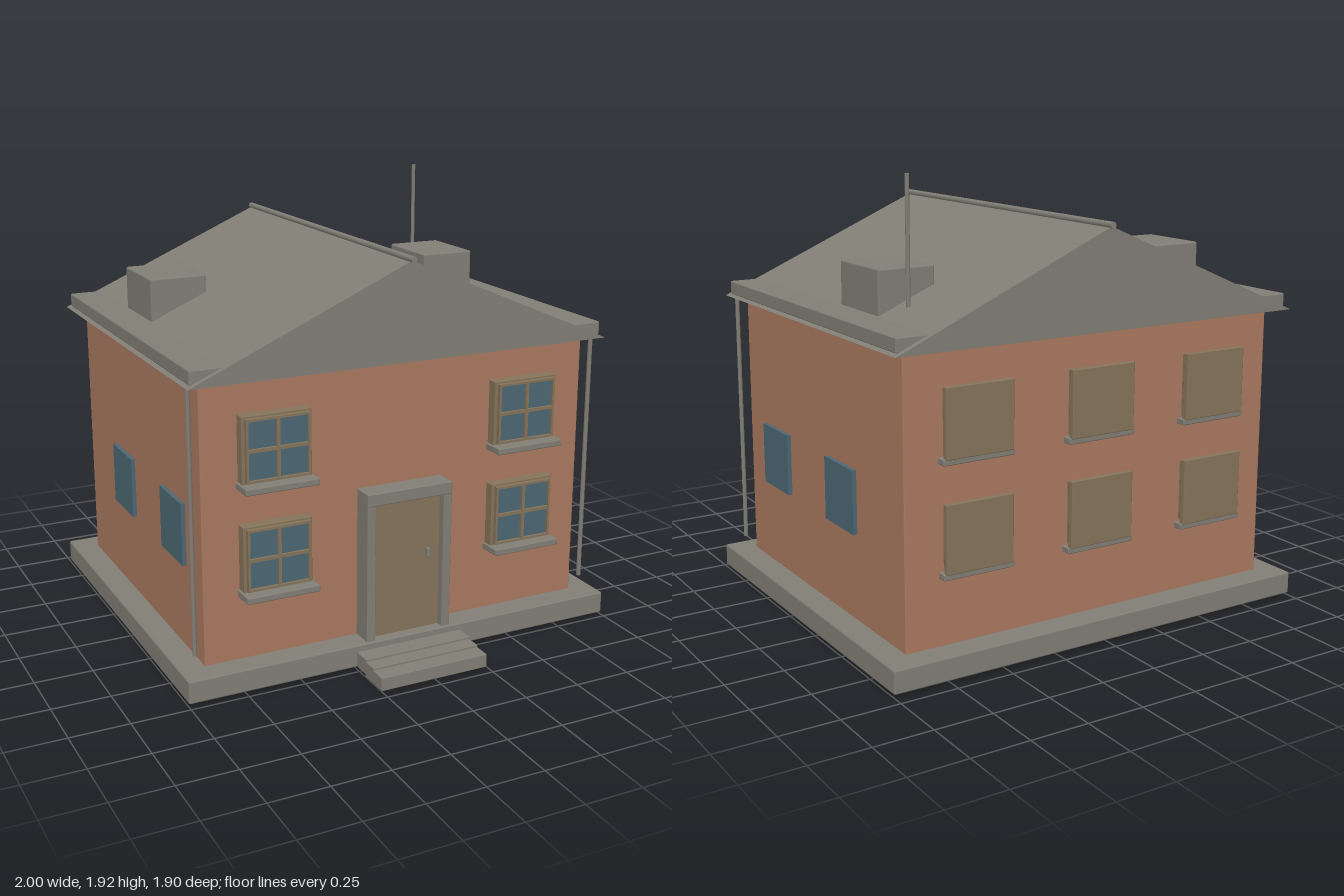
import * as THREE from 'three';
import { RoundedBoxGeometry } from 'three/addons/geometries/RoundedBoxGeometry.js';

export function createModel() {
  const house = new THREE.Group();
  house.name = 'house';

  const mat = (name, color) => {
    const m = new THREE.MeshStandardMaterial({ color });
    m.name = name;
    return m;
  };
  const brick = mat('brick', 0xab7a60);
  const stone = mat('stone', 0x827f76);
  const wood = mat('wood', 0x86755b);
  const glass = mat('glass', 0x4d6874);

  const add = (name, geometry, material, parent = house) => {
    const mesh = new THREE.Mesh(geometry, material);
    mesh.name = name;
    parent.add(mesh);
    return mesh;
  };
  // Box given by its limits on each axis, with an optional small bevel
  const box = (name, material, [x0, x1], [y0, y1], [z0, z1], bevel = 0, parent = house) => {
    const size = [x1 - x0, y1 - y0, z1 - z0];
    const g = bevel ? new RoundedBoxGeometry(...size, 1, bevel) : new THREE.BoxGeometry(...size);
    g.translate((x0 + x1) / 2, (y0 + y1) / 2, (z0 + z1) / 2);
    return add(name, g, material, parent);
  };
  const pole = (name, r, x, z, y0, y1) => {
    const g = new THREE.CylinderGeometry(r, r, y1 - y0, 8);
    add(name, g, stone).position.set(x, (y0 + y1) / 2, z);
  };

  // Base and walls
  box('plinth', stone, [-1, 1], [0.01, 0.11], [-0.95, 0.73], 0.008);
  box('walls', brick, [-0.89, 0.89], [0.1, 1.3], [-0.84, 0.625], 0.006);

  // Entrance steps
  [[0, 0.06, 0.8, 0.95], [0.01, 0.07, 0.73, 0.875], [0.02, 0.08, 0.72, 0.81]].forEach(([y0, y1, z0, z1]) =>
    box('step', stone, [-0.25, 0.25], [y0, y1], [z0, z1], 0.004));

  // Roof prism with gable ends
  const gable = new THREE.Shape([
    new THREE.Vector2(-0.96, 1.3), new THREE.Vector2(0.96, 1.3), new THREE.Vector2(0, 1.715),
  ]);
  const roof = new THREE.ExtrudeGeometry(gable, { depth: 1.625, bevelEnabled: false });
  roof.translate(0, 0, -0.92);
  add('roof', roof, stone);
  const ridge = new THREE.CylinderGeometry(0.014, 0.014, 1.65, 8);
  ridge.rotateX(Math.PI / 2).translate(0, 1.72, -0.105);
  add('ridgeCap', ridge, stone);

  // Parts mirrored on both sides
  for (const s of [-1, 1]) {
    const span = (a, b) => (s > 0 ? [a, b] : [-b, -a]);
    box('gutter', stone, span(0.8, 0.945), [1.308, 1.368], [-0.895, 0.68], 0.006);
    box('chimney', stone, span(0.545, 0.8), [1.32, 1.555], [-0.485, -0.155], 0.008);
    pole('drainpipe', 0.01, s * 0.935, 0.632, 0.17, 1.31);
    for (const z of [0.315, -0.315])
      box('sideWindow', glass, span(0.885, 0.908), [0.48, 0.75], [z - 0.128, z + 0.128]);
  }
  pole('antenna', 0.009, 0.705, -0.555, 1.4, 1.925);

  // Front windows: panel, glass pane, glazing bars and sill
  const frontWindow = (x, y) => {
    const g = new THREE.Group();
    g.name = 'frontWindow';
    g.position.set(x, y, 0);
    house.add(g);
    box('windowFrame', wood, [-0.152, 0.152], [-0.142, 0.142], [0.615, 0.672], 0.004, g);
    box('windowPane', glass, [-0.132, 0.132], [-0.125, 0.125], [0.67, 0.677], 0, g);
    for (const s of [-1, 1]) {
      box('sash', wood, [s * 0.134 - 0.005, s * 0.134 + 0.005], [-0.13, 0.13], [0.67, 0.69], 0, g);
      box('sash', wood, [-0.139, 0.139], [s * 0.127 - 0.005, s * 0.127 + 0.005], [0.67, 0.69], 0, g);
    }
    box('glazingBar', wood, [-0.007, 0.007], [-0.13, 0.13], [0.67, 0.69], 0, g);
    box('glazingBar', wood, [-0.132, 0.132], [-0.007, 0.007], [0.67, 0.688], 0, g);
    box('windowSill', stone, [-0.161, 0.161], [-0.167, -0.138], [0.615, 0.73], 0.005, g);
  };
  // Rear windows: closed wooden panels with a sill
  const rearWindow = (x, y) => {
    const g = new THREE.Group();
    g.name = 'rearWindow';
    g.position.set(x, y, 0);
    house.add(g);
    box('shutter', wood, [-0.152, 0.152], [-0.142, 0.142], [-0.89, -0.863], 0.004, g);
    box('shutterBacking', wood, [-0.139, 0.139], [-0.13, 0.13], [-0.865, -0.835], 0, g);
    box('windowSill', stone, [-0.161, 0.161], [-0.165, -0.138], [-0.883, -0.835], 0.005, g);
  };
  for (const y of [0.555, 1.014]) {
    for (const x of [-0.58, 0.58]) frontWindow(x, y);
    for (const x of [-0.58, 0, 0.58]) rearWindow(x, y);
  }

  // Door with surround and handle
  for (const s of [-1, 1])
    box('doorPost', stone, [s * 0.18 - 0.02, s * 0.18 + 0.02], [0.105, 0.73], [0.615, 0.72], 0.004);
  box('doorLintel', stone, [-0.2, 0.2], [0.71, 0.765], [0.615, 0.722], 0.005);
  box('door', wood, [-0.162, 0.162], [0.105, 0.712], [0.615, 0.685]);
  box('doorHandle', stone, [0.096, 0.112], [0.43, 0.473], [0.68, 0.702], 0.004);

  return house;
}
